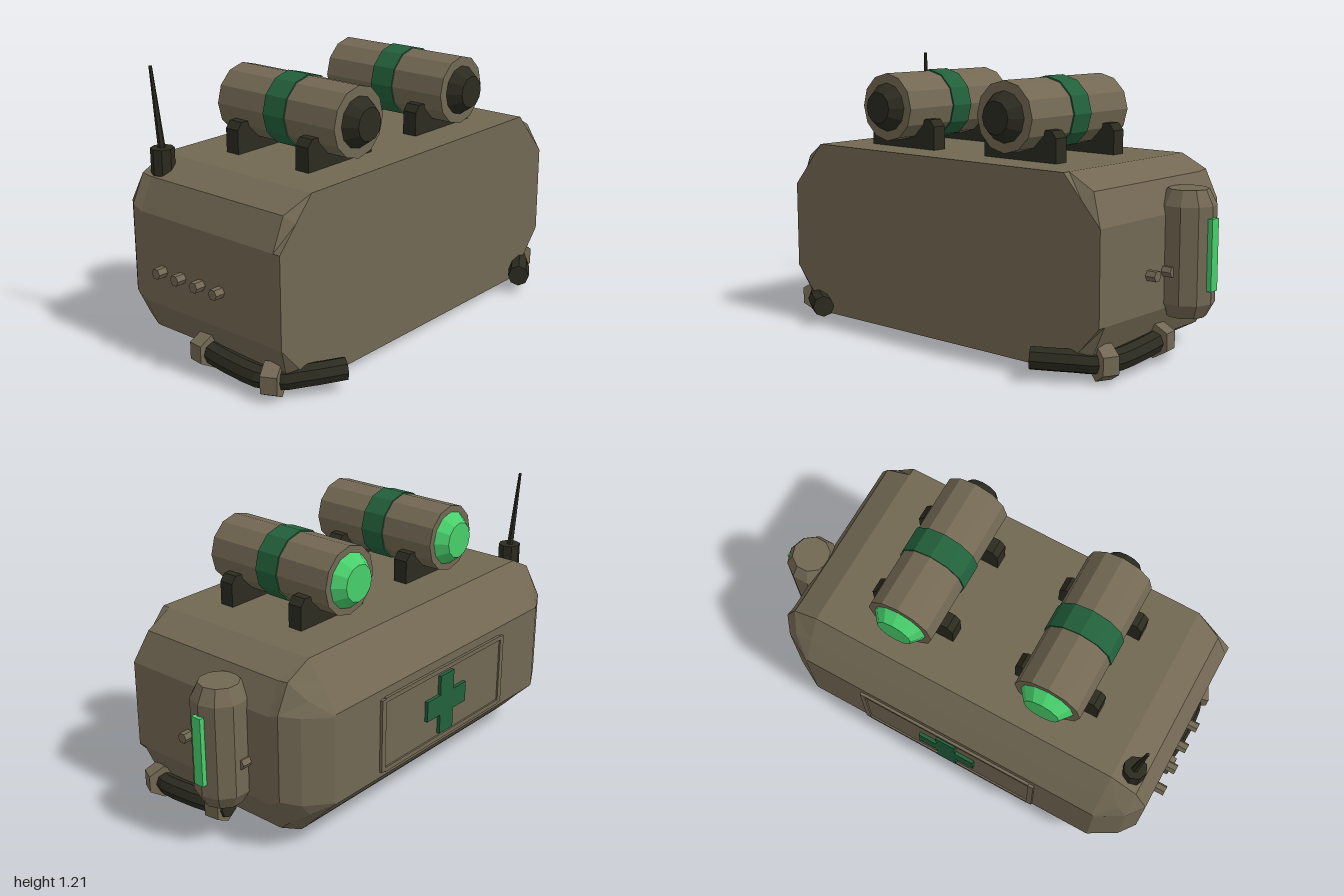
import * as THREE from 'three';

const mat = (name, color) => {
  const m = new THREE.MeshStandardMaterial({ color, flatShading: true });
  m.name = name;
  return m;
};

export function createModel() {
  const root = new THREE.Group();
  root.name = 'supplyPack';
  const drab = mat('drab shell', 0x726853);
  const dark = mat('dark rubber', 0x2b2b20);
  const green = mat('deep green', 0x22603b);
  const glow = mat('bright green', 0x48cf6b);
  const CX = -0.0625; // middle of the shell
  const HALF = 0.8925;

  const add = (name, geo, material, x = 0, y = 0, z = 0, parent = root) => {
    const mesh = new THREE.Mesh(geo, material);
    mesh.name = name;
    mesh.position.set(x, y, z);
    parent.add(mesh);
    return mesh;
  };
  const box = (w, h, d) => new THREE.BoxGeometry(w, h, d);
  // cylinder lying along z; r1 faces the front
  const zCyl = (r1, r2, len, n = 12) => new THREE.CylinderGeometry(r1, r2, len, n).rotateX(Math.PI / 2);

  // Shell: bevelled cross-sections [z, side inset, bottom, top, bevel x, bevel y, corner cut]
  const sections = [
    [0.42, 0, 0.03, 0.82, 0.18, 0.2, 0.5],
    [0.385, 0, 0.03, 0.82, 0.18, 0.2, 0.33],
    [-0.355, 0, 0.03, 0.82, 0.18, 0.2, 0.33],
    [-0.405, 0, 0.08, 0.82, 0.18, 0.18, 0.33],
    [-0.475, 0.055, 0.155, 0.72, 0.125, 0.09, 0.35],
    [-0.54, 0.175, 0.22, 0.62, 0.01, 0.01, 0.35],
  ];
  const rings = sections.map(([z, inset, y0, y1, bx, by, k]) => {
    const w = HALF - inset;
    const corner = (sx, sy) => {
      const X = CX + sx * w, Y = sy > 0 ? y1 : y0;
      const pts = [[X, Y - sy * by, z], [X - sx * bx * k, Y - sy * by * k, z], [X - sx * bx, Y, z]];
      return sx * sy > 0 ? pts : pts.reverse();
    };
    return [...corner(1, 1), ...corner(-1, 1), ...corner(-1, -1), ...corner(1, -1)];
  });
  const tris = [];
  const n = rings[0].length;
  for (let s = 0; s < rings.length - 1; s++) {
    const a = rings[s], b = rings[s + 1];
    for (let i = 0; i < n; i++) {
      const j = (i + 1) % n;
      tris.push(a[i], b[i], b[j], a[i], b[j], a[j]);
    }
  }
  const first = rings[0], last = rings[rings.length - 1];
  for (let i = 1; i < n - 1; i++) {
    tris.push(first[0], first[i], first[i + 1], last[0], last[i + 1], last[i]);
  }
  const shell = new THREE.BufferGeometry();
  shell.setAttribute('position', new THREE.Float32BufferAttribute(tris.flat(), 3));
  shell.computeVertexNormals();
  add('shell', shell, drab);

  // Back panel with a raised rim and a green cross
  const py = 0.412;
  add('backPanel', box(0.82, 0.3, 0.012), drab, CX, py, -0.539);
  for (const s of [-1, 1]) {
    add('panelRimEnd', box(0.025, 0.33, 0.025), drab, CX + s * 0.422, py, -0.54);
    add('panelRimLong', box(0.82, 0.02, 0.025), drab, CX, py + s * 0.16, -0.54);
  }
  const L = 0.137, W = 0.047;
  const cross = new THREE.Shape([
    [W, W], [W, L], [-W, L], [-W, W], [-L, W], [-L, -W],
    [-W, -W], [-W, -L], [W, -L], [W, -W], [L, -W], [L, W],
  ].map(([x, y]) => new THREE.Vector2(x, y)));
  add('backCross', new THREE.ExtrudeGeometry(cross, { depth: 0.02, bevelEnabled: false }), green, CX, py, -0.56);

  // Two canisters on saddles
  const saddle = new THREE.Shape([
    [-0.195, 0], [0.195, 0], [0.195, 0.105], [0.17, 0.135], [-0.17, 0.135], [-0.195, 0.105],
  ].map(([x, y]) => new THREE.Vector2(x, y)));
  for (const x of [-0.41, 0.28]) {
    const can = new THREE.Group();
    can.name = 'canister';
    can.position.set(x, 1.005, 0);
    root.add(can);
    add('canisterBody', zCyl(0.15, 0.15, 0.645), drab, 0, 0, 0.0225, can);
    add('canisterBand', zCyl(0.156, 0.156, 0.115), green, 0, 0, 0.0225, can);
    add('frontCap', zCyl(0.07, 0.108, 0.057), dark, 0, 0, 0.373, can);
    add('rearLens', zCyl(0.12, 0.08, 0.05), glow, 0, 0, -0.325, can);
    for (const z of [0.215, -0.175]) {
      add('saddle', new THREE.ExtrudeGeometry(saddle, { depth: 0.068, bevelEnabled: false }),
        dark, 0, -0.187, z - 0.034, can);
    }
  }

  // Antenna, leaning slightly outward
  add('antennaBase', new THREE.CylinderGeometry(0.05, 0.05, 0.11, 8), dark, -0.845, 0.815, -0.335);
  const bottom = new THREE.Vector3(-0.845, 0.86, -0.338), tip = new THREE.Vector3(-0.868, 1.21, -0.357);
  const rod = add('antennaRod', new THREE.CylinderGeometry(0.007, 0.016, bottom.distanceTo(tip), 6), dark);
  rod.position.copy(bottom).lerp(tip, 0.5);
  rod.quaternion.setFromUnitVectors(new THREE.Vector3(0, 1, 0), tip.clone().sub(bottom).normalize());

  // Upright side pod with a light strip
  const pod = [[0, 0.19], [0.085, 0.19], [0.118, 0.25], [0.118, 0.655], [0.085, 0.72], [0, 0.72]];
  add('sidePod', new THREE.LatheGeometry(pod.map(([r, y]) => new THREE.Vector2(r, y)), 10, Math.PI / 10),
    drab, 0.865, 0, -0.128);
  add('podLight', box(0.03, 0.3, 0.047), glow, 0.982, 0.457, -0.128);

  // Bumper tubes, clamps and bolts on both sides
  for (const s of [-1, 1]) {
    const at = (x, y, z) => new THREE.Vector3(CX + s * (x - CX), y, z);
    const path = new THREE.CatmullRomCurve3([
      at(0.557, 0.085, 0.505), at(0.69, 0.08, 0.42), at(0.79, 0.07, 0.32), at(0.808, 0.08, 0.13), at(0.785, 0.09, -0.075),
    ]);
    add('bumperTube', new THREE.TubeGeometry(path, 12, 0.048, 8), dark);
    for (const t of [0, 1]) {
      const cap = add('bumperEnd', new THREE.CircleGeometry(0.048, 8), dark);
      const p = path.getPoint(t), dir = path.getTangent(t).multiplyScalar(t ? 1 : -1);
      cap.position.copy(p);
      cap.lookAt(p.clone().add(dir));
    }
    for (const [x, y, z, yaw] of [[0.79, 0.074, 0.335, 0.45], [0.79, 0.092, -0.03, -0.12]]) {
      const clamp = add('bumperClamp', zCyl(0.075, 0.075, 0.07, 6), drab);
      clamp.position.copy(at(x, y, z));
      clamp.rotation.y = -s * yaw;
    }
    for (const z of [0.095, -0.015, -0.125, -0.235]) {
      const bolt = add('sideBolt', new THREE.CylinderGeometry(0.024, 0.024, 0.055, 6).rotateZ(Math.PI / 2), drab);
      bolt.position.copy(at(0.847, 0.388, z));
    }
  }
  return root;
}
